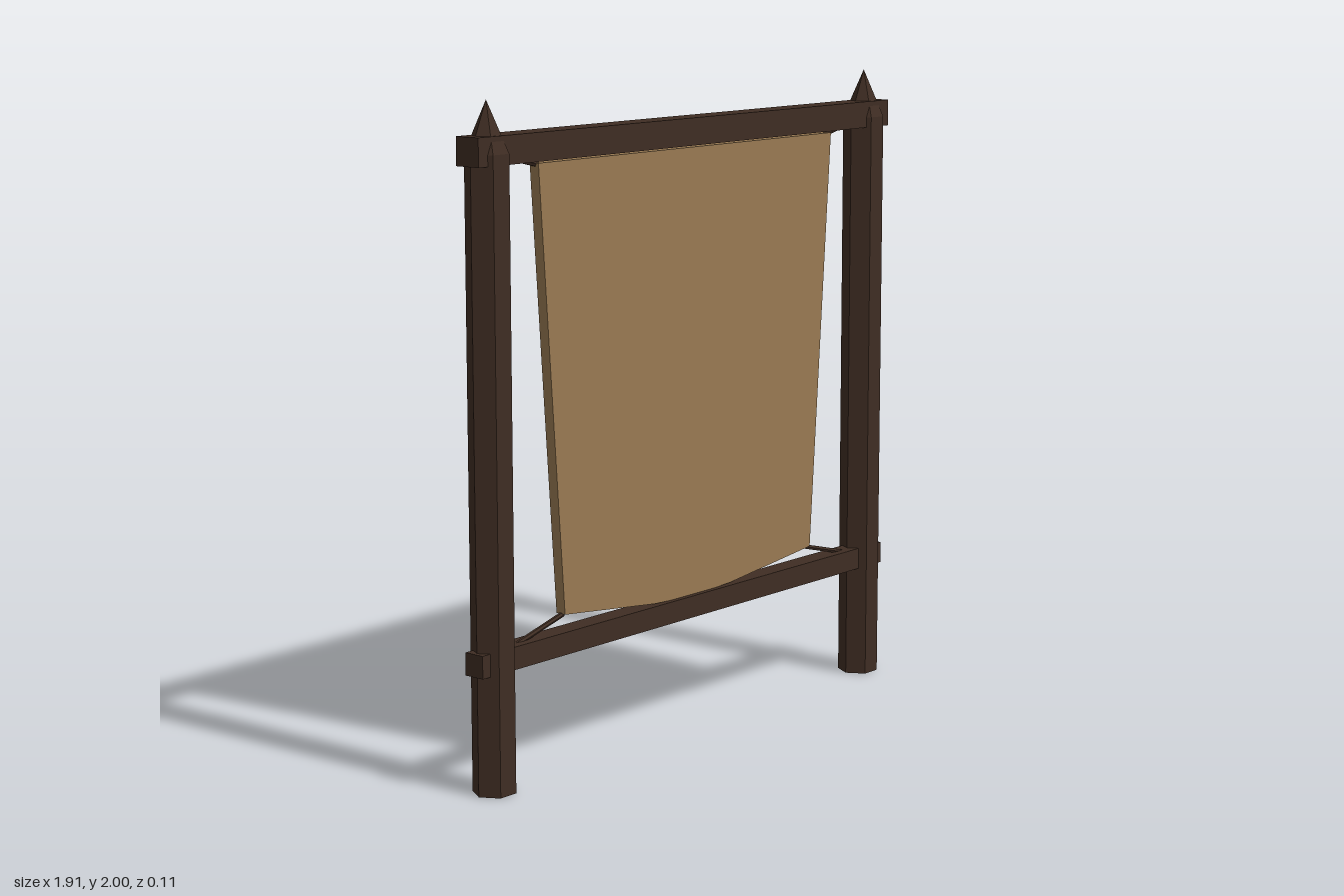
import * as THREE from 'three';

export function createModel() {
  const model = new THREE.Group();
  const wood = new THREE.MeshStandardMaterial({ color: 0x3f2d23 });
  wood.name = 'darkWood';
  const hide = new THREE.MeshStandardMaterial({ color: 0x997a53 });
  hide.name = 'tanHide';

  const add = (name, geometry, material, x = 0, y = 0, z = 0) => {
    const mesh = new THREE.Mesh(geometry, material);
    mesh.name = name;
    mesh.position.set(x, y, z);
    model.add(mesh);
    return mesh;
  };

  // Straight cord stretched between two points
  const cord = (name, from, to, radius) => {
    const a = new THREE.Vector3(...from);
    const b = new THREE.Vector3(...to);
    const geo = new THREE.CylinderGeometry(radius, radius, a.distanceTo(b), 6).toNonIndexed();
    geo.computeVertexNormals();
    const mesh = add(name, geo, wood);
    mesh.position.copy(a).add(b).multiplyScalar(0.5);
    mesh.quaternion.setFromUnitVectors(new THREE.Vector3(0, 1, 0), b.sub(a).normalize());
  };

  // Hexagonal prism or point with crisp sides, corners towards +x and -x
  const hexagon = (top, bottom, height, openEnded) => {
    const geo = new THREE.CylinderGeometry(top, bottom, height, 6, 1, openEnded).toNonIndexed();
    geo.computeVertexNormals();
    return geo.rotateY(Math.PI / 6);
  };

  for (const [side, s] of [['left', 1], ['right', -1]]) {
    // Post with sharpened tip
    add(side + 'Post', hexagon(0.065, 0.065, 1.85, false), wood, s * 0.878, 0.925);
    add(side + 'PostTip', hexagon(0, 0.065, 0.15, true), wood, s * 0.878, 1.925);

    // Cords tying the hide corners to the frame
    cord(side + 'LowerCord', [s * 0.58, 0.473, 0], [s * 0.82, 0.41, 0], 0.008);
    cord(side + 'UpperCord', [s * 0.67, 1.804, 0], [s * 0.78, 1.83, 0], 0.008);
  }

  // Crossbeams running through the posts
  add('topBeam', new THREE.BoxGeometry(1.91, 0.083, 0.086), wood, 0, 1.859);
  add('lowerBeam', new THREE.BoxGeometry(1.91, 0.068, 0.068), wood, 0, 0.393);

  // Stretched hide, narrower below with a sagging hem
  const outline = [
    [-0.685, 1.81], [-0.588, 0.475], [-0.18, 0.43], [0, 0.423],
    [0.18, 0.43], [0.588, 0.475], [0.683, 1.81],
  ].map(([x, y]) => new THREE.Vector2(x, y));
  const sheet = new THREE.ExtrudeGeometry(new THREE.Shape(outline), { depth: 0.034, bevelEnabled: false });
  add('hide', sheet, hide, 0, 0, -0.017);

  return model;
}
